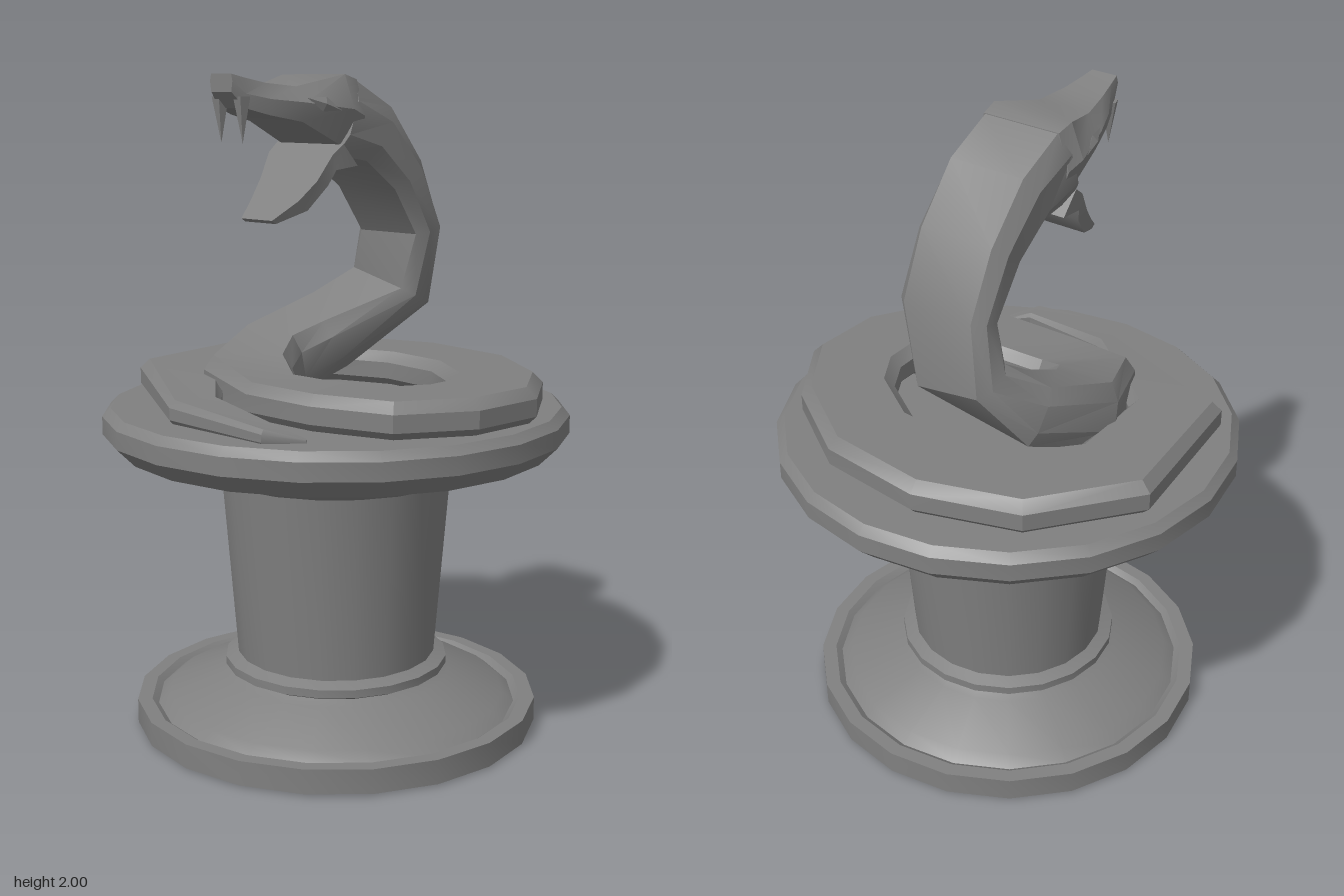
import * as THREE from 'three';
import { toCreasedNormals } from 'three/addons/utils/BufferGeometryUtils.js';

const V = (x, y, z) => new THREE.Vector3(x, y, z);

// Skin a list of equal-length rings (counter-clockwise seen from the travel direction), capped at both ends
function loft(rings) {
  const n = rings[0].length, idx = [];
  for (let i = 0; i < rings.length - 1; i++) {
    for (let j = 0; j < n; j++) {
      const a = i * n + j, b = i * n + (j + 1) % n;
      idx.push(a, b, a + n, b, b + n, a + n);
    }
  }
  const last = (rings.length - 1) * n;
  for (let j = 1; j < n - 1; j++) idx.push(0, j + 1, j, last, last + j, last + j + 1);
  const g = new THREE.BufferGeometry().setFromPoints(rings.flat());
  g.setIndex(idx);
  return toCreasedNormals(g, 0.5);
}

// Coil resting on the pedestal: x, z, half width, half thickness; its outer side is square to the path
function coilSections() {
  const path = [
    [0.35, 0.475, 0.006, 0.01], [0.27, 0.535, 0.037, 0.025], [-0.07, 0.51, 0.078, 0.04],
    [-0.455, 0.23, 0.14, 0.055], [-0.48, -0.16, 0.15], [-0.31, -0.36, 0.15], [-0.07, -0.44, 0.145],
    [0.2, -0.41, 0.145], [0.41, -0.27, 0.143], [0.51, -0.11, 0.15], [0.505, 0.05, 0.143],
    [0.42, 0.19, 0.145], [0.24, 0.265, 0.115], [0, 0.27, 0.11],
  ];
  return path.map(([x, z, w, t = 0.058], i) => {
    const a = path[Math.max(i - 1, 0)], b = path[Math.min(i + 1, path.length - 1)];
    const side = V(b[1] - a[1], 0, a[0] - b[0]).setLength(w);
    return [V(x, 1.005 + t, z), side, t];
  });
}

// Rising neck: centre, half-width vector to the model's right, half thickness
const neckSections = () => [
  [V(-0.18, 1.08, 0.2), V(-0.09, 0, 0.1), 0.085],
  [V(-0.25, 1.12, 0.02), V(-0.12, 0.01, 0.01), 0.1],
  [V(-0.19, 1.2, -0.17), V(-0.11, 0.04, -0.08), 0.09],
  [V(-0.065, 1.34, -0.32), V(-0.145, 0.03, -0.015), 0.07],
  [V(-0.02, 1.53, -0.31), V(-0.148, 0, 0), 0.055],
  [V(-0.03, 1.7, -0.225), V(-0.152, 0, 0), 0.072],
  [V(-0.042, 1.825, -0.105), V(-0.155, 0, 0), 0.095],
  [V(-0.05, 1.875, 0.03), V(-0.155, 0, 0), 0.115],
];

export function createModel() {
  const group = new THREE.Group();
  const stone = new THREE.MeshStandardMaterial({ color: 0x808080 });
  stone.name = 'grey stone';
  const add = (name, geometry, parent = group) => {
    const m = new THREE.Mesh(geometry, stone);
    m.name = name;
    parent.add(m);
    return m;
  };

  // Pedestal, turned in three pieces with 20 sides
  const turned = (name, pts) => add(name, toCreasedNormals(
    new THREE.LatheGeometry(pts.map(p => new THREE.Vector2(...p)), 20), 0.4));
  turned('pedestalBase', [[0, 0], [0.63, 0.005], [0.63, 0.08], [0.585, 0.08], [0.565, 0.065],
    [0.53, 0.092], [0.36, 0.155], [0.33, 0.17], [0.35, 0.18], [0.35, 0.205], [0.31, 0.22]]);
  turned('pedestalColumn', [[0.31, 0.215], [0.357, 0.805]]);
  turned('pedestalTop', [[0.34, 0.8], [0.39, 0.8], [0.52, 0.88], [0.66, 0.88], [0.715, 0.935],
    [0.715, 0.99], [0.69, 1.015], [0, 1.015]]);

  // Snake body from tail tip to neck, with a bevelled eight-sided section
  const body = [...coilSections(), ...neckSections()];
  const corners = [[1, -0.45], [1, 0.45], [0.78, 1], [-0.78, 1], [-1, 0.45], [-1, -0.45], [-0.78, -1], [0.78, -1]];
  add('snakeBody', loft(body.map(([c, side, t], i) => {
    const along = body[Math.min(i + 1, body.length - 1)][0].clone().sub(body[Math.max(i - 1, 0)][0]);
    const up = along.cross(side).setLength(t);
    return corners.map(([u, v]) => c.clone().addScaledVector(side, u).addScaledVector(up, v));
  })));

  // Head, facing +z and slightly off the centre line
  const head = new THREE.Group();
  head.name = 'snakeHead';
  head.position.x = -0.05;
  group.add(head);

  // Upper head rings: z, top, brow and mouth heights, then their half widths
  const skull = [
    [-0.01, 1.985, 1.88, 1.765, 0.125, 0.16, 0.12],
    [0.045, 2.0, 1.9, 1.79, 0.13, 0.17, 0.125],
    [0.2, 1.965, 1.92, 1.865, 0.085, 0.128, 0.112],
    [0.3, 1.975, 1.93, 1.885, 0.064, 0.088, 0.082],
    [0.37, 1.99, 1.945, 1.905, 0.05, 0.06, 0.055],
    [0.41, 2.0, 1.98, 1.95, 0.042, 0.047, 0.042],
  ];
  add('upperHead', loft(skull.map(([z, top, mid, bot, ht, hm, hb]) => [
    V(hm, mid, z), V(ht, top, z), V(-ht, top, z), V(-hm, mid, z), V(-hb, bot, z), V(hb, bot, z)])), head);

  // Lower jaw rings: half width, then z and y of the upper and lower edges
  const jaw = [
    [0.14, 0.06, 1.8, 0.0, 1.735],
    [0.135, 0.1, 1.77, 0.085, 1.725],
    [0.12, 0.15, 1.695, 0.105, 1.68],
    [0.1, 0.205, 1.64, 0.17, 1.61],
    [0.065, 0.28, 1.585, 0.265, 1.575],
  ];
  add('lowerJaw', loft(jaw.map(([w, zu, yu, zl, yl]) => [
    V(w, yu, zu), V(-w, yu, zu), V(-w, yl, zl), V(w, yl, zl)])), head);

  // Fangs and slanted eyes, mirrored
  for (const s of [-1, 1]) {
    const fang = add(s > 0 ? 'leftFang' : 'rightFang',
      toCreasedNormals(new THREE.ConeGeometry(0.026, 0.13, 5), 0.3), head);
    fang.position.set(s * 0.045, 1.872, 0.372);
    fang.rotation.x = Math.PI;
    const eye = add(s > 0 ? 'leftEye' : 'rightEye',
      toCreasedNormals(new THREE.OctahedronGeometry(1, 0), 0.3), head);
    eye.scale.set(0.012, 0.022, 0.06);
    eye.position.set(s * 0.142, 1.915, 0.14);
    eye.rotation.set(-0.32, -s * 0.26, 0);
  }
  return group;
}
